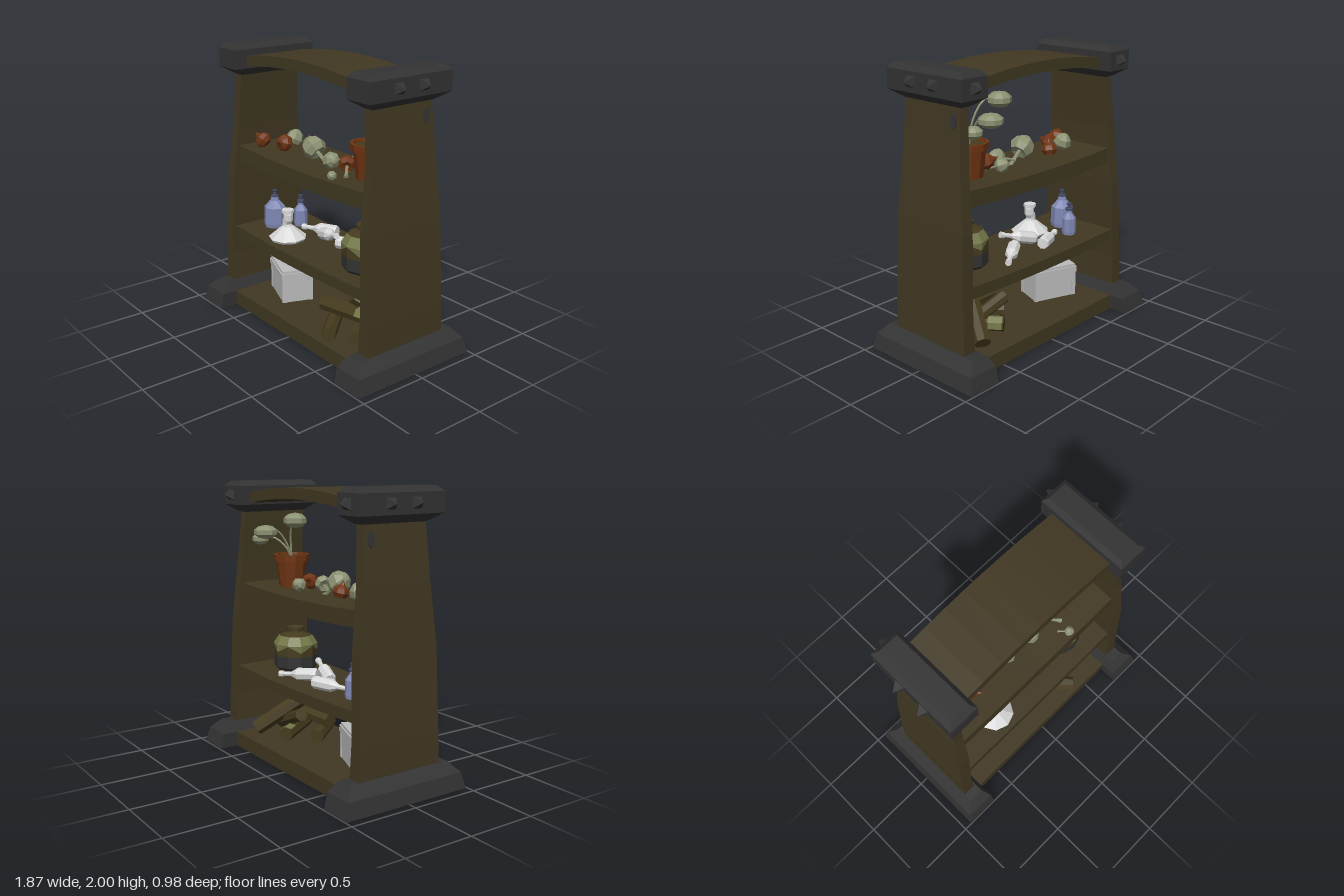
import * as THREE from 'three';

const mat = (name, color) => {
  const m = new THREE.MeshStandardMaterial({ color });
  m.name = name;
  return m;
};
const V = (p) => new THREE.Vector3(...p);
const UP = new THREE.Vector3(0, 1, 0);

// Faceted normals for the low-poly look
function flat(geo) {
  const g = geo.index ? geo.toNonIndexed() : geo;
  g.computeVertexNormals();
  return g;
}

// Stack of rectangles, each [y, x0, x1, z0, z1], closed at both ends
function loft(layers) {
  const pos = [], idx = [];
  for (const [y, x0, x1, z0, z1] of layers) pos.push(x0, y, z1, x1, y, z1, x1, y, z0, x0, y, z0);
  for (let i = 0; i < layers.length - 1; i++) {
    for (let k = 0; k < 4; k++) {
      const a = i * 4 + k, b = i * 4 + (k + 1) % 4;
      idx.push(a, b, b + 4, a, b + 4, a + 4);
    }
  }
  const t = (layers.length - 1) * 4;
  idx.push(0, 2, 1, 0, 3, 2, t, t + 1, t + 2, t, t + 2, t + 3);
  const g = new THREE.BufferGeometry();
  g.setAttribute('position', new THREE.Float32BufferAttribute(pos, 3));
  g.setIndex(idx);
  return flat(g);
}
const mirrored = (layers, s) => layers.map(([y, a, b, c, d]) => (s > 0 ? [y, a, b, c, d] : [y, -b, -a, c, d]));

// Turned shape from [radius, y] pairs, bottom to top
const lathe = (pts, sides) => flat(new THREE.LatheGeometry(pts.map((p) => new THREE.Vector2(...p)), sides));

// Board whose middle is raised (or lowered) by bow
function bowed(w, h, d, bow) {
  const g = new THREE.BoxGeometry(w, h, d, 8, 1, 1);
  const p = g.attributes.position;
  for (let i = 0; i < p.count; i++) {
    const u = (2 * p.getX(i)) / w;
    p.setY(i, p.getY(i) + bow * (1 - u * u));
  }
  return flat(g);
}

export function createModel() {
  const wood = mat('dark wood', 0x413822), iron = mat('iron', 0x333333);
  const clay = mat('terracotta', 0x6e3413), sage = mat('pale sage', 0x8b9172);
  const blue = mat('blue glass', 0x8088b4), navy = mat('dark blue', 0x454a68);
  const white = mat('white glass', 0xd8d8d8), grey = mat('crate grey', 0xbcbcbc);
  const bark = mat('bark', 0x453b1e), moss = mat('moss', 0x737748);

  const root = new THREE.Group();
  root.name = 'stockedShelf';
  const add = (name, geo, m, p = [0, 0, 0], parent = root) => {
    const mesh = new THREE.Mesh(geo, m);
    mesh.name = name;
    mesh.position.set(...p);
    parent.add(mesh);
    return mesh;
  };
  const group = (name, p) => {
    const g = new THREE.Group();
    g.name = name;
    g.position.set(...p);
    root.add(g);
    return g;
  };
  const aim = (obj, dir) => obj.quaternion.setFromUnitVectors(UP, V(dir).normalize());

  // Side posts with iron feet and caps
  const post = [[0.1, 0.735, 0.836, -0.33, 0.335], [0.4, 0.745, 0.833, -0.32, 0.325], [0.98, 0.72, 0.808, -0.302, 0.312],
    [1.4, 0.708, 0.782, -0.265, 0.268], [1.8, 0.675, 0.745, -0.24, 0.25]];
  const foot = [[0, 0.69, 0.937, -0.49, 0.49], [0.11, 0.69, 0.912, -0.465, 0.465], [0.183, 0.725, 0.842, -0.4, 0.4]];
  const cap = [[1.775, 0.67, 0.75, -0.25, 0.25], [1.83, 0.61, 0.825, -0.338, 0.338],
    [1.965, 0.61, 0.825, -0.338, 0.338], [2, 0.64, 0.785, -0.305, 0.305]];
  const spike = flat(new THREE.ConeGeometry(0.052, 0.06, 4).rotateY(Math.PI / 4));
  for (const s of [1, -1]) {
    const side = s > 0 ? 'left' : 'right';
    add(side + 'Post', loft(mirrored(post, s)), wood);
    add(side + 'Foot', loft(mirrored(foot, s)), iron);
    add(side + 'Cap', loft(mirrored(cap, s)), iron);
    for (const z of [0.11, -0.095]) {
      const m = add(side + 'CapSpike', spike, iron, [s * 0.854, 1.9, z]);
      m.rotation.z = (-s * Math.PI) / 2;
    }
    add(side + 'BackSpike', spike, iron, [s * 0.717, 1.9, -0.367]).rotation.x = -Math.PI / 2;
    const plate = flat(new THREE.CylinderGeometry(0.027, 0.027, 0.008, 8).rotateZ(Math.PI / 2).scale(1, 2, 1));
    add(side + 'Plate', plate, iron, [s * 0.758, 1.685, -0.19]).rotation.z = s * 0.092;
  }

  // Boards
  add('topBeam', bowed(1.28, 0.075, 0.49, 0.055), wood, [0, 1.877, 0]);
  add('upperShelf', bowed(1.44, 0.11, 0.53, -0.024), wood, [0, 1.195, 0]);
  add('middleShelf', bowed(1.49, 0.08, 0.6, -0.018), wood, [0, 0.58, 0]);
  add('baseBoard', flat(new THREE.BoxGeometry(1.5, 0.11, 0.705)), wood, [0, 0.056, 0]);

  // Crate with lid and corner strips
  const crate = group('crate', [-0.405, 0.11, 0.03]);
  crate.rotation.y = -0.36;
  add('crateBody', flat(new THREE.BoxGeometry(0.335, 0.21, 0.225)), grey, [0, 0.105, 0], crate);
  add('crateLid', flat(new THREE.BoxGeometry(0.355, 0.045, 0.245)), grey, [0, 0.21, 0], crate);
  add('crateLidTop', flat(new THREE.BoxGeometry(0.335, 0.02, 0.225)), grey, [0, 0.24, 0], crate);
  for (const x of [-1, 1]) for (const z of [-1, 1])
    add('crateCorner', flat(new THREE.BoxGeometry(0.03, 0.2, 0.03)), grey, [x * 0.157, 0.1, z * 0.102], crate);

  // Log pile: start, end, radius
  const logs = [
    [[0.12, 0.16, 0], [0.39, 0.16, 0.3], 0.053], [[0.29, 0.16, -0.16], [0.55, 0.16, 0.2], 0.053],
    [[0.13, 0.255, 0.13], [0.565, 0.28, 0.07], 0.055], [[0.2, 0.32, -0.08], [0.57, 0.17, -0.02], 0.048],
    [[0.58, 0.15, -0.24], [0.39, 0.4, 0.09], 0.058],
  ];
  logs.forEach(([a, b, r], i) => {
    const d = V(b).sub(V(a)), len = d.length();
    const log = group('log', a);
    aim(log, d.toArray());
    add('logBark', flat(new THREE.CylinderGeometry(r, r, len, 7).translate(0, len / 2, 0)), bark, [0, 0, 0], log);
    if (i > 0) {
      const patch = new THREE.CylinderGeometry(r + 0.004, r + 0.004, 0.1, 3, 1, true, i * 1.8, 2.7);
      const shell = flat(patch);
      add('mossPatch', shell, moss, [0, i % 2 ? 0.06 : len - 0.06, 0], log);
    }
  });

  // Blue stoppered bottles
  for (const [x, z, r, h] of [[-0.58, 0.05, 0.085, 0.28], [-0.47, -0.11, 0.053, 0.225]]) {
    const b = group('blueBottle', [x, 0.612, z]);
    add('bottleBody', lathe([[0, 0], [r * 0.95, 0], [r, h * 0.1], [r * 0.95, h * 0.55], [r * 0.4, h * 0.73], [r * 0.33, h * 0.83], [0, h * 0.83]], 8), blue, [0, 0, 0], b);
    add('bottleStopper', lathe([[0.018, 0], [0.028, 0.004], [0.028, 0.02], [0.015, 0.025], [0.015, 0.045], [0.02, 0.058], [0, 0.062]], 8), navy, [0, h * 0.8, 0], b);
  }

  // White flask with a bent neck
  const flask = group('flask', [-0.305, 0.608, 0.13]);
  add('flaskBody', lathe([[0, 0], [0.13, 0], [0.14, 0.018], [0.06, 0.085], [0.04, 0.1], [0, 0.1]], 9), white, [0, 0, 0], flask);
  const bend = new THREE.CatmullRomCurve3([[0, 0.08, 0], [-0.012, 0.12, 0], [0.01, 0.16, 0], [0.003, 0.21, 0]].map(V));
  add('flaskNeck', flat(new THREE.TubeGeometry(bend, 5, 0.036, 8)), white, [0, 0, 0], flask);
  add('flaskLip', flat(new THREE.CylinderGeometry(0.046, 0.046, 0.022, 8)), white, [0.003, 0.215, 0], flask);

  // Fallen white bottles, base to mouth
  const fallen = lathe([[0, 0], [0.04, 0], [0.046, 0.015], [0.046, 0.15], [0.018, 0.2], [0.015, 0.26], [0.023, 0.265], [0.023, 0.295], [0, 0.295]], 8);
  for (const [a, d] of [[[-0.1, 0.65, -0.17], [-0.24, -0.01, 0.1]], [[-0.14, 0.655, -0.06], [0.3, 0.085, 0.09]], [[0.05, 0.65, -0.04], [0.25, -0.02, -0.17]]])
    aim(add('fallenBottle', fallen, white, a), d);

  // Two-tone jar with a zigzag glaze
  const jar = group('jar', [0.46, 0.612, 0.04]);
  add('jarBase', lathe([[0, 0], [0.145, 0], [0.16, 0.02], [0.16, 0.105]], 10), iron, [0, 0, 0], jar);
  add('jarTop', lathe([[0.16, 0.105], [0.16, 0.19], [0.12, 0.25], [0.05, 0.275], [0.05, 0.288], [0.064, 0.29], [0.064, 0.312], [0.045, 0.312], [0, 0.295]], 10), bark, [0, 0, 0], jar);
  const glaze = new THREE.LatheGeometry([[0.162, 0.185], [0.165, 0.19], [0.124, 0.252]].map((p) => new THREE.Vector2(...p)), 10);
  const gp = glaze.attributes.position;
  for (let i = 0; i < gp.count; i += 3) if ((i / 3) % 2) gp.setY(i, 0.135);
  add('jarGlaze', flat(glaze), moss, [0, 0, 0], jar);

  // Potted plant
  const pot = group('pottedPlant', [0.445, 1.228, 0]);
  add('pot', lathe([[0, 0], [0.09, 0], [0.115, 0.2], [0.133, 0.2], [0.135, 0.245], [0.112, 0.245], [0.108, 0.22]], 10), clay, [0, 0, 0], pot);
  add('soil', flat(new THREE.CylinderGeometry(0.11, 0.11, 0.01, 10)), bark, [0, 0.222, 0], pot);
  for (const [x, y, z, r, h] of [[-0.195, 0.505, -0.09, 0.085, 0.055], [0.01, 0.415, -0.21, 0.088, 0.05], [0.135, 0.355, -0.18, 0.063, 0.044]]) {
    const stem = new THREE.CatmullRomCurve3([[0, 0.22, 0], [x * 0.1, 0.2 + (y - 0.2) * 0.6, z * 0.2], [x * 0.5, y + 0.01, z * 0.6], [x, y, z]].map(V));
    add('stem', flat(new THREE.TubeGeometry(stem, 8, 0.008, 5)), sage, [0, 0, 0], pot);
    add('podCap', flat(new THREE.SphereGeometry(1, 9, 5).scale(r, h, r)), sage, [x, y, z], pot);
  }

  // Loose mushrooms: cap centre, direction of the tip, size, colour
  const pointed = lathe([[0, -0.035], [0.045, -0.045], [0.065, -0.01], [0.055, 0.025], [0.022, 0.05], [0, 0.085]], 7);
  const round = lathe([[0, -0.03], [0.05, -0.045], [0.07, -0.01], [0.058, 0.035], [0.025, 0.065], [0, 0.07]], 7);
  const stalk = lathe([[0, -0.16], [0.018, -0.16], [0.011, -0.12], [0.011, -0.02]], 6);
  const mushrooms = [
    [[-0.6, 1.295, 0.13], [-0.6, 0.5, 0.3], 0.95, clay], [[-0.43, 1.295, 0.06], [0.3, 0.3, 0.9], 1, clay],
    [[-0.28, 1.295, -0.07], [-0.1, 1, 0.2], 0.9, clay], [[0.25, 1.293, 0.03], [-0.6, 0.3, -0.55], 0.95, clay],
    [[-0.45, 1.31, -0.05], [0, 0.9, -0.4], 0.95, sage], [[-0.11, 1.325, 0.035], [-0.75, 0.55, 0.1], 1.25, sage],
    [[0.12, 1.288, 0.06], [0.85, 0.25, 0.3], 0.9, sage], [[0.22, 1.28, -0.08], [-0.3, 0.3, -0.8], 0.75, sage],
    [[0.33, 1.262, 0.225], [0.4, 0.2, 0.5], 0.5, sage],
  ];
  for (const [p, dir, size, m] of mushrooms) {
    const g = group('mushroom', p);
    aim(g, dir);
    g.scale.setScalar(size);
    add('mushroomCap', m === clay ? pointed : round, m, [0, 0, 0], g);
    if (Math.abs(dir[1]) < 0.6 && p[0] > -0.3) add('mushroomStalk', stalk, sage, [0, 0, 0], g);
  }
  return root;
}
